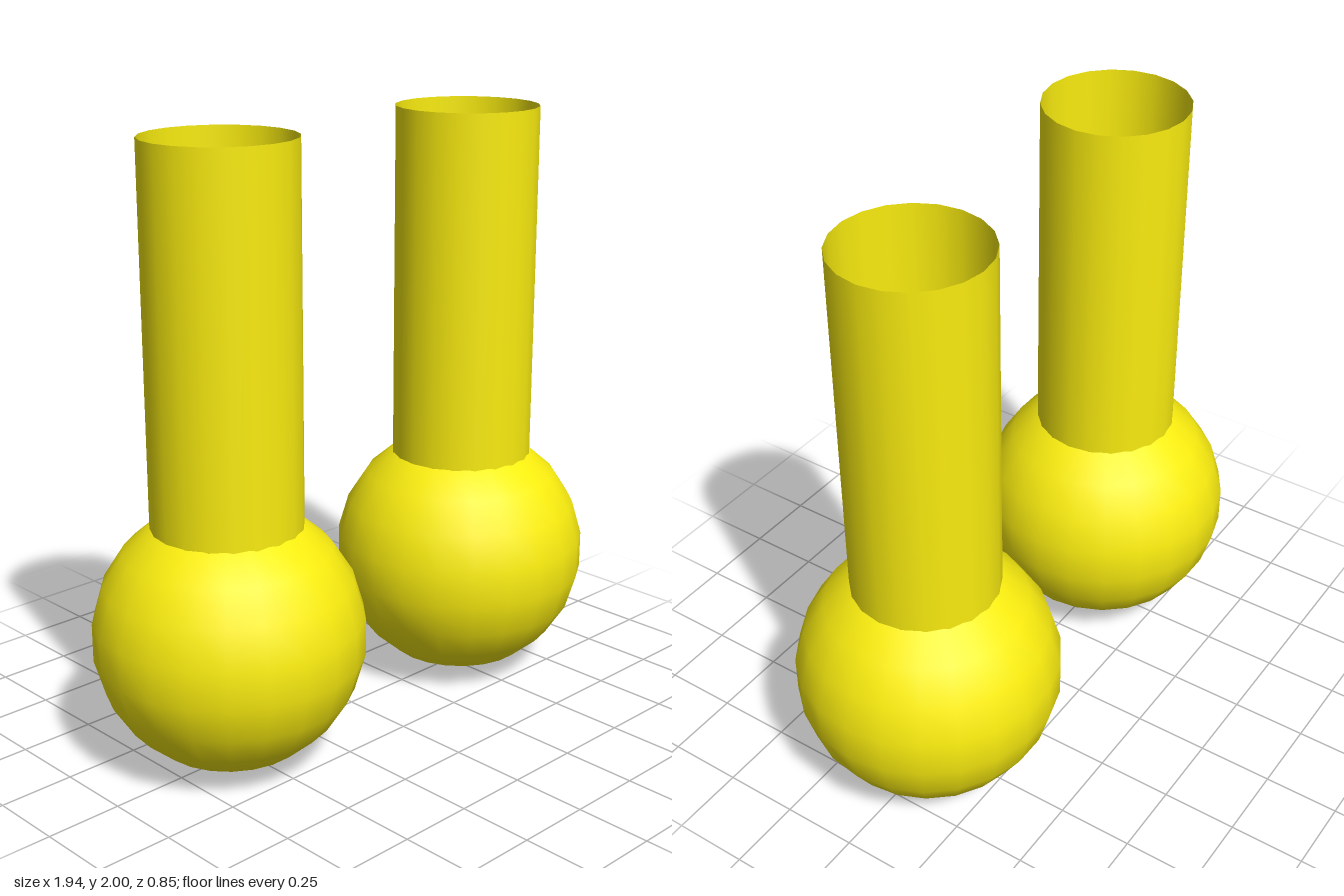
import * as THREE from 'three';

export function createModel() {
  const model = new THREE.Group();
  const yellow = new THREE.MeshStandardMaterial({ color: 0xfaed0f });
  const yellowOpen = new THREE.MeshStandardMaterial({ color: 0xfaed0f, side: THREE.DoubleSide });

  const radius = 0.436;
  const tubeBottom = 0.7, tubeTop = 2;
  const ballGeometry = new THREE.SphereGeometry(radius, 22, 11);
  const tubeGeometry = new THREE.CylinderGeometry(0.241, 0.241, tubeTop - tubeBottom, 20, 1, true);

  // A ball with an open tube rising from it, mirrored left and right
  for (const side of [1, -1]) {
    const pair = new THREE.Group();
    pair.name = side > 0 ? 'leftBallAndTube' : 'rightBallAndTube';
    pair.position.x = side * 0.537;

    const ball = new THREE.Mesh(ballGeometry, yellow);
    ball.name = 'ball';
    ball.position.y = radius;

    const tube = new THREE.Mesh(tubeGeometry, yellowOpen);
    tube.name = 'tube';
    tube.position.y = (tubeBottom + tubeTop) / 2;

    pair.add(ball, tube);
    model.add(pair);
  }
  return model;
}
